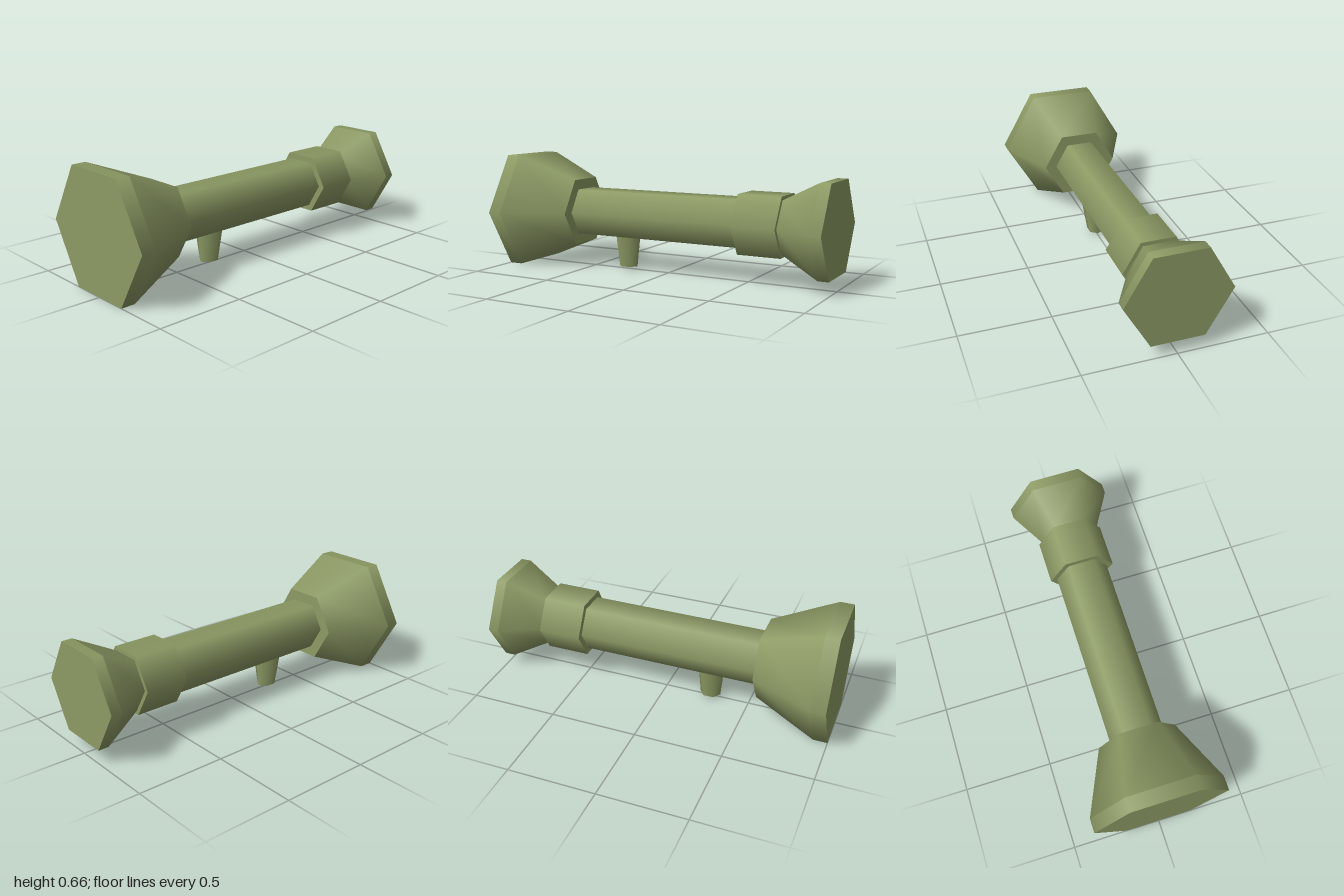
import * as THREE from 'three';

const AXIS_Y = 0.33;

export function createModel() {
  const model = new THREE.Group();
  const olive = new THREE.MeshStandardMaterial({ color: 0x8c9a64 });
  olive.name = 'olive green';

  // Six-sided section along x, from x0 (radius r0) to x1 (radius r1)
  function section(name, x0, r0, x1, r1, openEnded = false) {
    const geometry = new THREE.CylinderGeometry(r1, r0, x1 - x0, 6, 1, openEnded);
    geometry.rotateZ(-Math.PI / 2);
    const mesh = new THREE.Mesh(geometry, olive);
    mesh.name = name;
    mesh.position.set((x0 + x1) / 2, AXIS_Y, 0);
    model.add(mesh);
  }

  // Wide objective end
  section('objectiveRim', -1, 0.38, -0.92, 0.38);
  section('objectiveBell', -0.92, 0.38, -0.57, 0.22);

  // Main tube and adjustment sleeve
  section('mainTube', -0.6, 0.152, 0.5, 0.152);
  section('sleeve', 0.47, 0.19, 0.72, 0.19);

  // Flared eyepiece
  section('eyepieceBell', 0.72, 0.166, 0.94, 0.29);
  section('eyepieceRim', 0.94, 0.29, 1, 0.29);

  // Tapered mounting stud, narrowing faster in depth than in width
  const height = 0.21;
  const studGeometry = new THREE.CylinderGeometry(0.08, 0.06, height, 6, 1, false, Math.PI / 2);
  const pos = studGeometry.attributes.position;
  for (let i = 0; i < pos.count; i++) {
    const t = pos.getY(i) / height + 0.5;
    pos.setZ(i, pos.getZ(i) * THREE.MathUtils.lerp(0.82, 1.1, t));
  }
  const stud = new THREE.Mesh(studGeometry, olive);
  stud.name = 'mountingStud';
  stud.position.set(-0.27, 0.018 + height / 2, 0);
  model.add(stud);

  return model;
}
